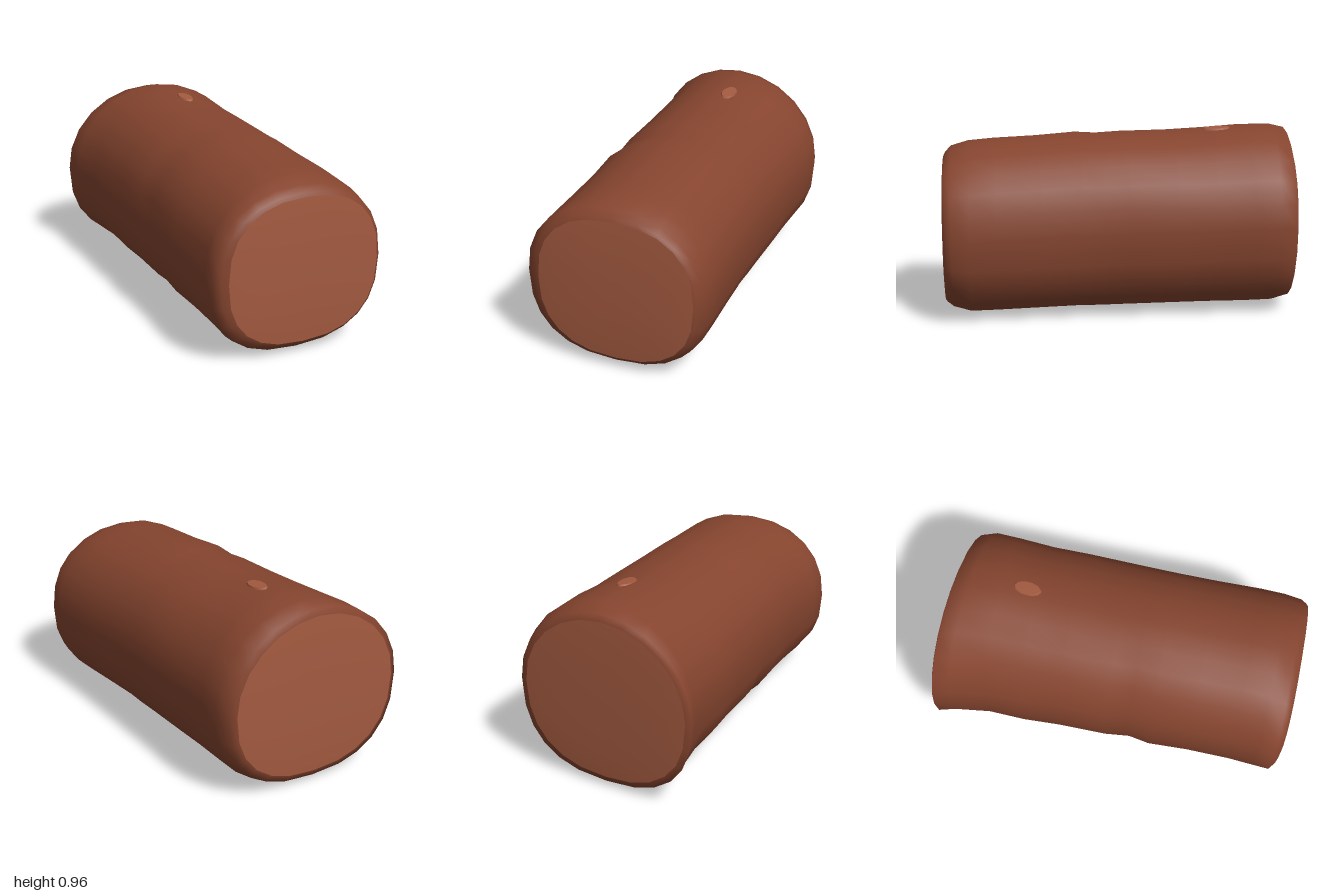
import * as THREE from 'three';

const SEGMENTS = 24;

// Cross-sections along the log: [distance, side min, side max, bottom, top, roundness above, below]
const SECTIONS = [
  [-0.895, -0.44, 0.475, 0.06, 0.90, 2.0, 2.4],
  [-0.884, -0.47, 0.51, 0.03, 0.935, 2.0, 2.5],
  [-0.80, -0.445, 0.533, 0.013, 0.957, 2.0, 2.5],
  [-0.64, -0.42, 0.525, 0.012, 0.957, 2.0, 2.5],
  [-0.45, -0.425, 0.515, 0.012, 0.943, 2.0, 2.5],
  [-0.25, -0.415, 0.51, 0.012, 0.932, 2.1, 2.5],
  [0.0, -0.415, 0.503, 0.010, 0.928, 2.1, 2.5],
  [0.13, -0.40, 0.50, 0.010, 0.922, 2.1, 2.5],
  [0.24, -0.42, 0.497, 0.009, 0.927, 2.1, 2.5],
  [0.45, -0.41, 0.50, 0.006, 0.912, 2.1, 2.5],
  [0.68, -0.412, 0.507, 0.002, 0.902, 2.1, 2.5],
  [0.81, -0.42, 0.507, 0.0, 0.89, 2.1, 2.5],
  [0.90, -0.428, 0.495, 0.025, 0.86, 2.2, 2.5],
  [0.93, -0.39, 0.475, 0.05, 0.83, 2.3, 2.5],
  [0.94, -0.355, 0.46, 0.065, 0.812, 2.4, 2.5],
];

// Log space (along, side, height) to the diagonal lie of the log
function place(t, p, y) {
  return [0.59 * t + 0.807 * p, y, 0.807 * t - 0.59 * p];
}

// One closed ring; shrink < 1 pulls it towards its centre
function ring([t, p0, p1, y0, y1, nTop, nBottom], shrink = 1, bulge = 0) {
  const out = [];
  for (let j = 0; j < SEGMENTS; j++) {
    const a = (j / SEGMENTS) * Math.PI * 2;
    const c = Math.cos(a), s = Math.sin(a);
    const e = 2 / (s > 0 ? nTop : nBottom);
    const p = (p0 + p1) / 2 + Math.sign(c) * Math.abs(c) ** e * (p1 - p0) / 2 * shrink;
    const y = (y0 + y1) / 2 + Math.sign(s) * Math.abs(s) ** e * (y1 - y0) / 2 * shrink;
    const skew = t < -0.7 ? 0.065 * p : 0; // the back cut is slightly slanted
    out.push(place(t + skew + bulge, p, y));
  }
  return out;
}

// Smooth skin through a list of rings, optionally closed by a centre point
function skin(rings, closed) {
  const positions = rings.flat(2);
  const index = [];
  for (let i = 0; i < rings.length - 1; i++) {
    for (let j = 0; j < SEGMENTS; j++) {
      const k = (j + 1) % SEGMENTS;
      const a = i * SEGMENTS + j, b = i * SEGMENTS + k;
      const d = a + SEGMENTS, c = b + SEGMENTS;
      index.push(a, b, c, a, c, d);
    }
  }
  if (closed) {
    const last = rings[rings.length - 1];
    const centre = [0, 1, 2].map(n => last.reduce((sum, v) => sum + v[n], 0) / SEGMENTS);
    const tip = positions.length / 3;
    positions.push(...centre);
    for (let j = 0; j < SEGMENTS; j++) {
      const base = (rings.length - 1) * SEGMENTS;
      index.push(base + j, base + (j + 1) % SEGMENTS, tip);
    }
  }
  const geometry = new THREE.BufferGeometry();
  geometry.setAttribute('position', new THREE.Float32BufferAttribute(positions, 3));
  geometry.setIndex(index);
  geometry.computeVertexNormals();
  return geometry;
}

// Cut face: slightly domed disc closing one end
function cutFace(section, direction) {
  const rings = [ring(section), ring(section, 0.8, direction * 0.006), ring(section, 0.4, direction * 0.01)];
  if (direction < 0) rings.forEach(r => r.reverse());
  return skin(rings, true);
}

export function createModel() {
  const bark = new THREE.MeshStandardMaterial({ color: 0x86452f });
  bark.name = 'bark';
  const wood = new THREE.MeshStandardMaterial({ color: 0xa35a40 });
  wood.name = 'cut wood';

  const log = new THREE.Group();
  log.name = 'log';
  const add = (name, geometry, material) => {
    const mesh = new THREE.Mesh(geometry, material);
    mesh.name = name;
    log.add(mesh);
    return mesh;
  };

  add('barkTrunk', skin(SECTIONS.map(s => ring(s)), false), bark);
  add('frontCutFace', cutFace(SECTIONS[SECTIONS.length - 1], 1), wood);
  add('backCutFace', cutFace(SECTIONS[0], -1), wood);

  // Small bare patch on top of the bark
  const patch = add('barePatch', new THREE.CylinderGeometry(0.9, 1, 0.009, 10), wood);
  patch.scale.set(0.04, 1, 0.075);
  patch.rotation.set(0.05, 0.6, -0.08, 'YXZ');
  patch.position.set(-0.22, 0.945, -0.46);

  return log;
}
